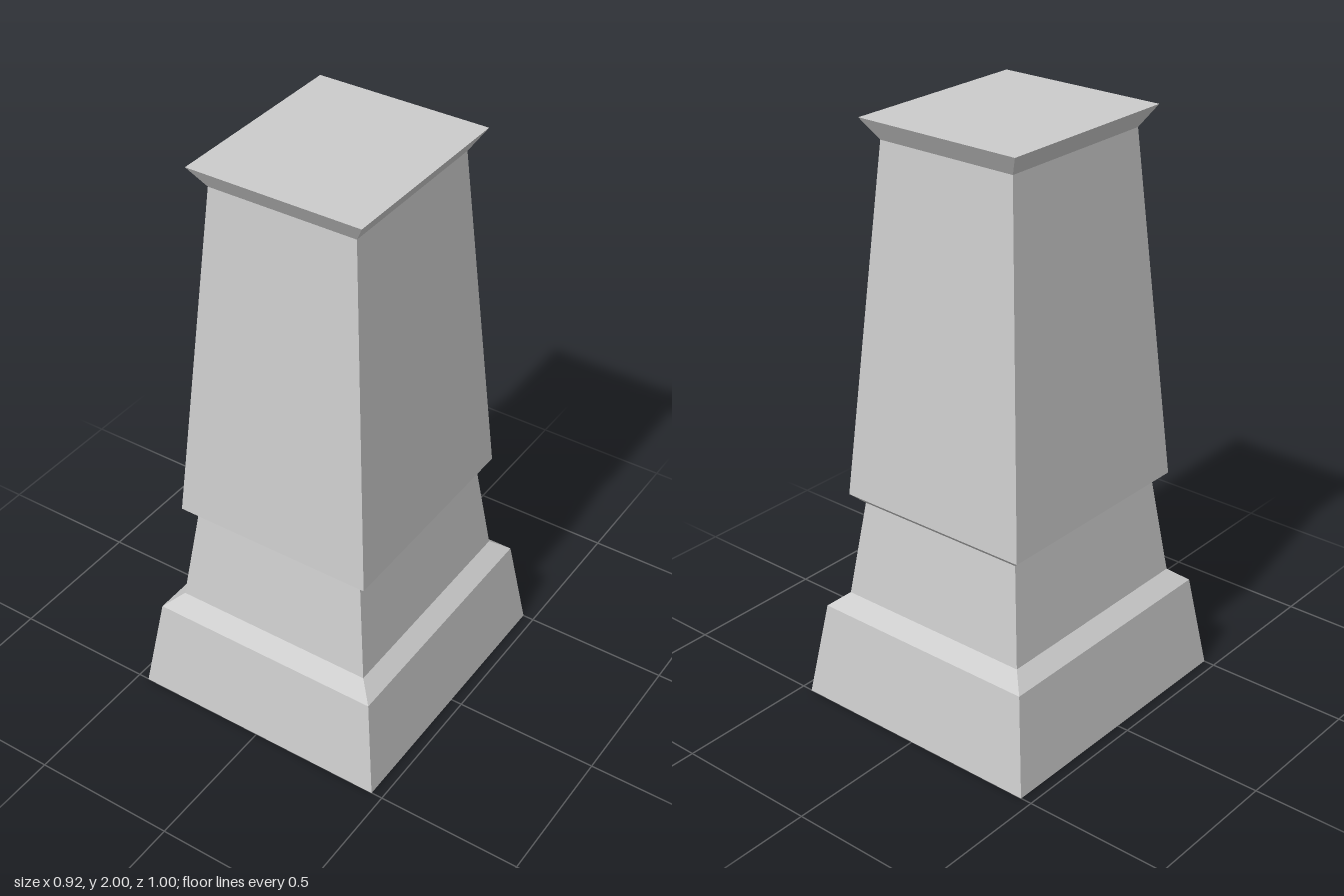
import * as THREE from 'three';

const DEPTH_EXTRA = 0.04; // the pedestal is slightly deeper than wide
const CORNERS = [[1, 1], [1, -1], [-1, -1], [-1, 1]];

// Rectangular ring of four corners at a given half width and height
function ring([halfWidth, y]) {
  return CORNERS.map(([sx, sz]) => [sx * halfWidth, y, sz * (halfWidth + DEPTH_EXTRA)]);
}

// Open rectangular shell through the profile points, optionally closed on top
function rectShell(name, profile, material, closedTop = false) {
  const rings = profile.map(ring);
  const positions = [];
  const quad = (a, b, c, d) => positions.push(...a, ...b, ...c, ...a, ...c, ...d);
  for (let i = 0; i < rings.length - 1; i++) {
    const lower = rings[i], upper = rings[i + 1];
    for (let k = 0; k < 4; k++) {
      const n = (k + 1) % 4;
      quad(lower[k], lower[n], upper[n], upper[k]);
    }
  }
  if (closedTop) quad(...rings[rings.length - 1]);
  const geometry = new THREE.BufferGeometry();
  geometry.setAttribute('position', new THREE.Float32BufferAttribute(positions, 3));
  geometry.computeVertexNormals();
  const mesh = new THREE.Mesh(geometry, material);
  mesh.name = name;
  return mesh;
}

export function createModel() {
  const group = new THREE.Group();
  group.name = 'pedestal';
  const material = new THREE.MeshStandardMaterial({
    color: 0xcccccc, flatShading: true, side: THREE.DoubleSide,
  });

  // Profiles are [half width, height]; the hollow shell is open underneath
  group.add(
    rectShell('base', [[0.461, 0], [0.413, 0.333], [0.357, 0.38]], material),
    rectShell('neck', [[0.357, 0.38], [0.314, 0.714]], material),
    rectShell('shaft', [[0.314, 0.714], [0.351, 0.748], [0.255, 1.93]], material),
    rectShell('cap', [[0.255, 1.93], [0.299, 2]], material, true),
  );
  return group;
}
